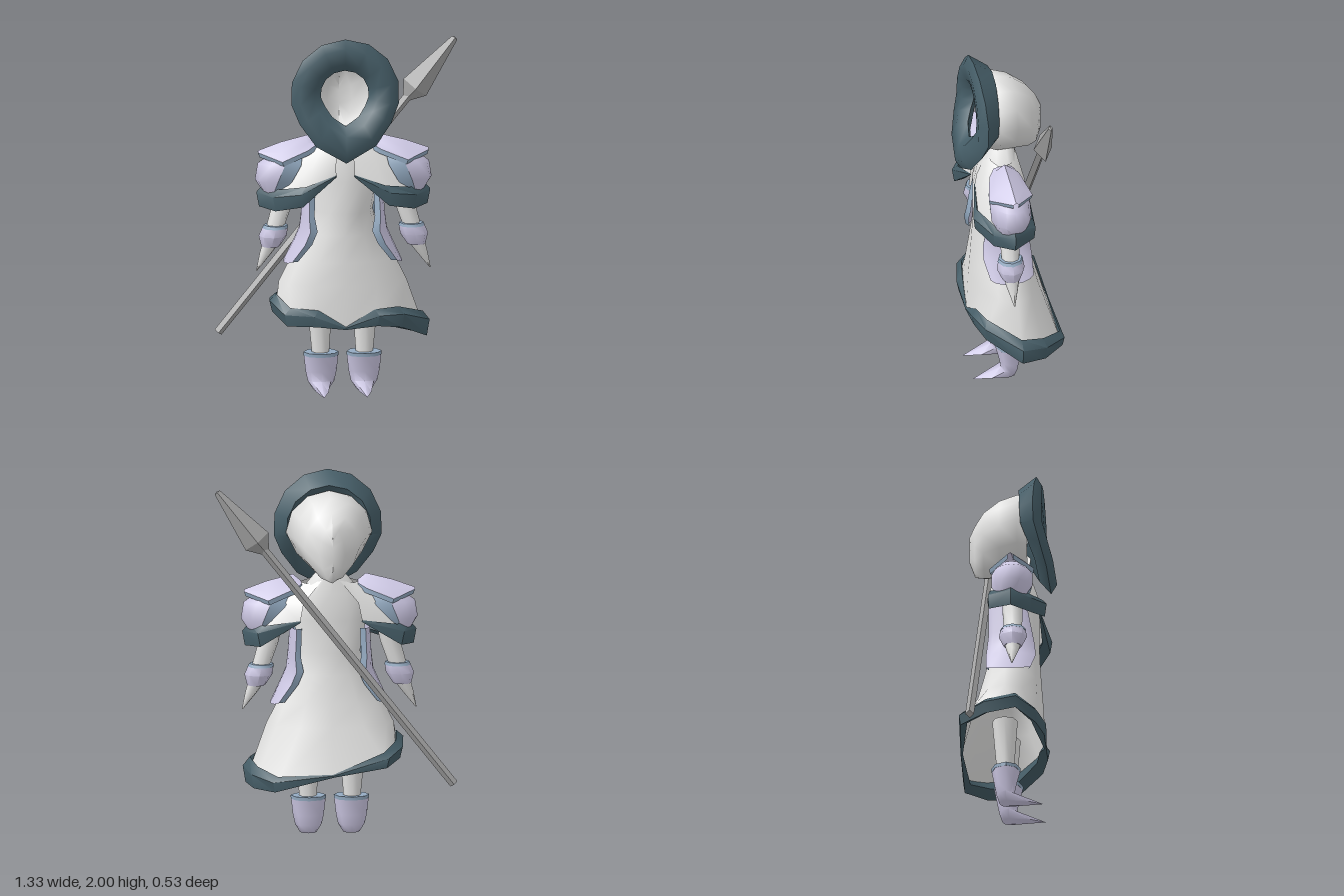
import * as THREE from 'three';
import { toCreasedNormals } from 'three/addons/utils/BufferGeometryUtils.js';

const CX = 0.022; // centre line of the figure; the spear sticks out unevenly
const mat = (name, color) => {
  const m = new THREE.MeshStandardMaterial({ color, side: THREE.DoubleSide });
  m.name = name;
  return m;
};

// Skin a list of cross-sections; faces are turned outwards from the centre.
function loft(rings, { closed = true, caps = false, loop = false } = {}, crease = 0.9) {
  const n = rings[0].length, m = rings.length;
  const pts = rings.flat().map((p) => new THREE.Vector3(...p));
  const idx = [];
  for (let i = 0; i < (loop ? m : m - 1); i++)
    for (let j = 0; j < (closed ? n : n - 1); j++) {
      const a = i * n + j, b = i * n + ((j + 1) % n);
      const i2 = ((i + 1) % m) * n, c = i2 + j, d = i2 + ((j + 1) % n);
      idx.push(a, b, d, a, d, c);
    }
  if (caps)
    for (let j = 1; j < n - 1; j++) {
      const e = (m - 1) * n;
      idx.push(0, j + 1, j, e, e + j, e + j + 1);
    }
  const mid = pts.reduce((s, p) => s.add(p), new THREE.Vector3()).divideScalar(pts.length);
  const rel = pts.map((p) => p.clone().sub(mid));
  let vol = 0;
  for (let k = 0; k < idx.length; k += 3)
    vol += rel[idx[k]].dot(rel[idx[k + 1]].clone().cross(rel[idx[k + 2]]));
  if (vol < 0) idx.reverse();
  const g = new THREE.BufferGeometry().setFromPoints(pts);
  g.setIndex(idx);
  return toCreasedNormals(g, crease);
}

// Upright limb from [x, y, z, radius] stations
const limb = (st, sides = 8) => loft(st.map(([x, y, z, r]) =>
  Array.from({ length: sides }, (_, k) => {
    const a = (k / sides) * Math.PI * 2;
    return [x + r * Math.sin(a), y, z + r * Math.cos(a)];
  })), { caps: true });

// Fur band from [x, y, z, half height] stations, thick where it is tall
const furBand = (st, s, loop) => loft(st.map(([x, y, z, h]) => {
  const l = Math.hypot(x, z), t = Math.min(0.038, h * 0.8);
  const ox = (x / l) * t, oz = (z / l) * t;
  return [[s * x, y + h, z], [s * (x + ox), y + h * 0.3, z + oz],
    [s * (x + ox * 0.6), y - h, z + oz * 0.6], [s * (x - ox), y - h * 0.3, z - oz]];
}), { loop, caps: !loop });

// Curved side plate from rows [y, inner x, outer x, front z, back z, sag of the middle]
const platePoint = ([y, xi, xo, zf, zb, sag = 0], s, a) => [s * (xi + (xo - xi) * Math.sin(a) ** 0.8),
  y - sag * Math.sin(a), (zf + zb) / 2 + ((zf - zb) / 2) * Math.cos(a)];
const RIM = 0.3;
const plate = (rows, s) => loft(rows.map((r) => Array.from({ length: 7 }, (_, k) =>
  platePoint(r, s, RIM + ((Math.PI - 2 * RIM) * k) / 6))), { closed: false });
// Edge of a plate, turned in towards the body; f is 1 at the front, -1 at the back
const plateRim = (rows, s, f) => loft(rows.map((r) => {
  const [x, y, z] = platePoint(r, s, f > 0 ? RIM : Math.PI - RIM);
  return [[x, y, z], [s * (r[1] - 0.01), y, z - f * 0.015]];
}), { closed: false });

export function createModel() {
  const cloth = mat('pale grey cloth', 0xe4e4e3);
  const fur = mat('dark teal fur', 0x465e68);
  const armor = mat('lavender plate', 0xcec9e5);
  const trim = mat('blue trim', 0x94abc2);
  const metal = mat('grey metal', 0xa6a6a6);

  const model = new THREE.Group();
  model.name = 'hoodedSpearBearer';
  const body = new THREE.Group();
  body.name = 'body';
  body.position.x = CX;
  model.add(body);
  const add = (name, geo, m) => {
    const mesh = new THREE.Mesh(geo, m);
    mesh.name = name;
    body.add(mesh);
  };

  // Uneven hem, counted from the front centre round by the left side
  const hem = [[0, 0.39, 0.205, 0.008], [0.16, 0.445, 0.19, 0.045], [0.29, 0.44, 0.16, 0.058],
    [0.44, 0.365, 0.0, 0.07], [0.405, 0.345, -0.13, 0.06], [0.305, 0.327, -0.245, 0.042],
    [0, 0.37, -0.255, 0.008], [-0.28, 0.45, -0.23, 0.042], [-0.355, 0.485, -0.1, 0.048],
    [-0.37, 0.51, 0.06, 0.048], [-0.3, 0.45, 0.16, 0.05], [-0.15, 0.445, 0.19, 0.045]];
  add('hemFur', furBand(hem, 1, true), fur);

  // Robe: rows of y, half width, front z, back z
  const robe = [[0.62, 0.35, 0.195, -0.18], [0.75, 0.285, 0.185, -0.145], [0.9, 0.2, 0.175, -0.11],
    [1.02, 0.165, 0.17, -0.09], [1.2, 0.2, 0.17, -0.09], [1.35, 0.17, 0.14, -0.08], [1.47, 0.07, 0.1, -0.05]]
    .map(([y, rx, zf, zb]) => hem.map((_, k) => {
      const a = (k / 12) * Math.PI * 2, c = Math.cos(a);
      return [rx * Math.sin(a), y, c > 0 ? zf * c : -zb * c];
    }));
  add('robe', loft([hem.map(([x, y, z]) => [x, y, z]), ...robe], {}, 1.2), cloth);

  // Hood: rows of z, half width, top, bottom; narrower towards the neck
  const hood = [[0.11, 0.2, 1.86, 1.46], [0.06, 0.237, 1.9, 1.44], [-0.04, 0.195, 1.875, 1.43],
    [-0.13, 0.153, 1.81, 1.425], [-0.18, 0.07, 1.745, 1.43], [-0.213, 0, 1.67, 1.52]];
  add('hood', loft(hood.map(([z, w, t, b]) => Array.from({ length: 12 }, (_, k) => {
    const a = (k / 12) * Math.PI * 2, c = Math.cos(a);
    return [w * Math.sin(a) * (1 - 0.25 * Math.max(0, -c)), (t + b) / 2 + ((t - b) / 2) * c, z];
  })), {}, 1.5), cloth);

  // Thick fur ring round the face, pointed under the chin
  const ring = [];
  for (let k = 0; k < 14; k++) {
    const a = (k / 14) * Math.PI * 2, c = Math.cos(a), low = Math.max(0, -c);
    const wide = Math.sign(Math.sin(a)) * Math.abs(Math.sin(a)) ** (c < 0 ? 0.72 : 1);
    const z = (top, side, bottom) => side + ((c > 0 ? top : bottom) - side) * c * c;
    const at = (f, zz) => {
      const w = 0.132 + (0.3 - 0.132) * f;
      const up = 0.13 + 0.18 * f, down = 0.1 + 0.15 * f, tip = (0.07 + 0.05 * f) * low ** 8;
      return [w * wide, 1.69 + (c > 0 ? up * c : down * c - tip), zz];
    };
    ring.push([at(1, z(0.165, 0.15, 0.235)), at(0.72, z(0.192, 0.197, 0.268)),
      at(0.25, z(0.185, 0.19, 0.25)), at(0, z(0.14, 0.13, 0.19)), at(0.6, z(0.06, 0.075, 0.17))]);
  }
  add('hoodFur', loft(ring, { loop: true }, 1.3), fur);

  for (const s of [1, -1]) {
    const n = s > 0 ? 'left' : 'right';
    const flip = (row) => row.map(([x, y, z]) => [s * x, y, z]);

    // Short cape over the shoulder with a fur edge
    const edge = [[0.05, 1.235, 0.17, 0.005], [0.22, 1.13, 0.2, 0.055], [0.36, 1.1, 0.135, 0.06],
      [0.44, 1.11, 0.04, 0.062], [0.365, 1.12, -0.078, 0.058], [0.17, 1.2, -0.1, 0.006]];
    const cape = [
      [[0.03, 1.42, 0.1], [0.1, 1.41, 0.09], [0.15, 1.4, 0.06], [0.16, 1.4, 0.03], [0.13, 1.4, -0.02], [0.05, 1.42, -0.06]],
      [[0.05, 1.3, 0.16], [0.17, 1.3, 0.15], [0.28, 1.3, 0.1], [0.35, 1.29, 0.04], [0.28, 1.3, -0.04], [0.15, 1.3, -0.085]],
      edge];
    add(n + 'Cape', loft(cape.map(flip), { closed: false }, 1.1), cloth);
    add(n + 'CapeFur', furBand(edge, s, false), fur);

    // Flared waist plate and bulging upper arm plate, each with trimmed edges
    const plates = {
      WaistPlate: [[1.16, 0.17, 0.22, 0.12, -0.1], [1.0, 0.175, 0.23, 0.15, -0.1],
        [0.92, 0.16, 0.24, 0.165, -0.11], [0.85, 0.19, 0.27, 0.17, -0.115], [0.76, 0.265, 0.325, 0.145, -0.11, 0.03]],
      UpperArmPlate: [[1.34, 0.24, 0.4, 0.13, -0.05], [1.29, 0.25, 0.47, 0.16, -0.075],
        [1.2, 0.3, 0.485, 0.16, -0.075], [1.13, 0.36, 0.44, 0.12, -0.04]],
    };
    for (const [name, rows] of Object.entries(plates)) {
      add(n + name, plate(rows, s), armor);
      add(n + name + 'FrontTrim', plateRim(rows, s, 1), trim);
      add(n + name + 'BackTrim', plateRim(rows, s, -1), trim);
    }

    // Ridged shoulder plate: rows of x, ridge height, edge height, half depth
    const ridge = [[0.155, 1.405, 1.395, 0.05], [0.2, 1.442, 1.372, 0.085],
      [0.345, 1.405, 1.318, 0.123], [0.468, 1.36, 1.35, 0.015]];
    add(n + 'ShoulderPlate', loft(ridge.map(([x, p, e, h]) =>
      [-1, -0.6, 0, 0.6, 1].map((f) => [s * x, p + (e - p) * Math.abs(f) ** 1.3, 0.04 + h * f])),
    { closed: false }), armor);
    for (const f of [-1, 1])
      add(n + 'ShoulderTrim', loft(ridge.map(([x, , e, h]) =>
        [[s * x, e, 0.04 + h * f], [s * (x - 0.008), e - 0.025, 0.04 + h * f * 0.96]]), { closed: false }), trim);

    // Arm, cuff and pointed hand
    add(n + 'Arm', limb([[s * 0.3, 1.22, 0.04, 0.055], [s * 0.335, 1.06, 0.045, 0.055],
      [s * 0.385, 0.9, 0.05, 0.048]]), cloth);
    add(n + 'Cuff', limb([[s * 0.375, 0.93, 0.05, 0.07], [s * 0.388, 0.885, 0.05, 0.077],
      [s * 0.4, 0.825, 0.05, 0.05]]), armor);
    add(n + 'CuffTrim', limb([[s * 0.372, 0.945, 0.05, 0.066], [s * 0.375, 0.928, 0.05, 0.072]]), trim);
    add(n + 'Hand', limb([[s * 0.4, 0.84, 0.05, 0.045], [s * 0.425, 0.79, 0.05, 0.034],
      [s * 0.476, 0.69, 0.05, 0.003]]), cloth);

    // Leg and pointed boot
    add(n + 'Leg', limb([[s * 0.125, 0.5, -0.01, 0.07], [s * 0.12, 0.18, -0.008, 0.045]]), cloth);
    const bootRing = ([y, w, zb, zf, p]) => Array.from({ length: 8 }, (_, k) => {
      const a = (k / 8) * Math.PI * 2, c = Math.cos(a);
      return [s * 0.118 + w * Math.sin(a), c > 0.9 && p ? 0 : y, c > 0 ? zf * c ** (p ? 2 : 1) : -zb * c];
    });
    add(n + 'Boot', loft([[0.2, 0.095, -0.083, 0.073], [0.11, 0.085, -0.066, 0.05],
      [0.055, 0.073, -0.055, 0.04], [0.01, 0.045, -0.04, 0.2, 1]].map(bootRing), { caps: true }, 1.4), armor);
    add(n + 'BootTrim', loft([[0.217, 0.097, -0.086, 0.076], [0.197, 0.096, -0.084, 0.074]].map(bootRing),
      { caps: true }), trim);
  }

  // Spear slung across the back, square shaft and flattened diamond head
  const spear = new THREE.Group();
  spear.name = 'spear';
  spear.position.set(-0.645, 0.3, -0.17);
  spear.quaternion.setFromUnitVectors(new THREE.Vector3(0, 1, 0),
    new THREE.Vector3(1.29, 1.63, 0.055).normalize());
  const turned = (name, prof, depth) => {
    const g = new THREE.LatheGeometry(prof.map(([r, y]) => new THREE.Vector2(r, y)), 4);
    g.scale(1, 1, depth);
    const mesh = new THREE.Mesh(toCreasedNormals(g, 0.3), metal);
    mesh.name = name;
    spear.add(mesh);
  };
  turned('spearShaft', [[0, 0], [0.024, 0], [0.024, 1.68], [0, 1.68]], 1);
  turned('spearHead', [[0, 1.66], [0.025, 1.66], [0.079, 1.735], [0.018, 2.085], [0, 2.09]], 0.65);
  model.add(spear);
  return model;
}
